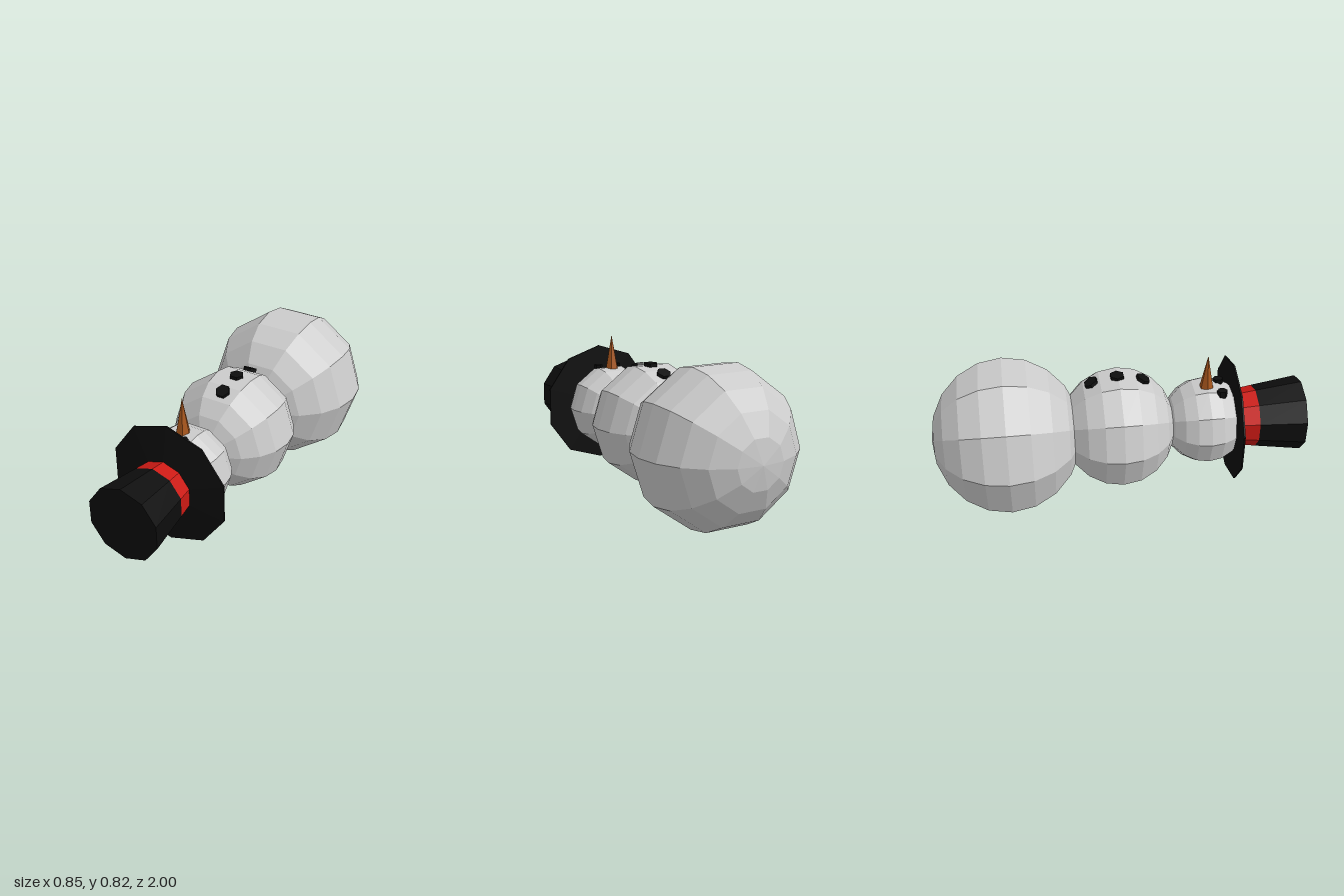
import * as THREE from 'three';

const AXIS_Y = 0.408; // height of the body axis, which runs along z

const flat = (color) => new THREE.MeshStandardMaterial({ color, flatShading: true });
const snow = flat(0xcccccc);
const black = flat(0x0d0d0d);
const red = flat(0xcc1a14);
const orange = flat(0xa8561c);

export function createModel() {
  const model = new THREE.Group();

  const add = (parent, name, geometry, material, x, y, z) => {
    const mesh = new THREE.Mesh(geometry, material);
    mesh.name = name;
    mesh.position.set(x, y, z);
    parent.add(mesh);
    return mesh;
  };

  // Snowballs: ten-sided spheres, poles along z, slightly flattened lengthwise
  const balls = [
    ['baseBall', 0.427, 0.4, -0.6],
    ['middleBall', 0.33, 0.31, 0],
    ['headBall', 0.24, 0.225, 0.475],
  ];
  for (const [name, radius, halfLength, z] of balls) {
    const geometry = new THREE.SphereGeometry(radius, 10, 10);
    geometry.scale(1, halfLength / radius, 1).rotateX(Math.PI / 2);
    add(model, name, geometry, snow, 0, AXIS_Y, z);
  }

  // Hat: brim, band and flaring crown
  const hat = new THREE.Group();
  hat.name = 'hat';
  hat.position.y = AXIS_Y;
  model.add(hat);
  const lathe = (profile) =>
    new THREE.LatheGeometry(profile.map(([r, h]) => new THREE.Vector2(r, h)), 10).rotateX(Math.PI / 2);
  add(hat, 'hatBrim', lathe([[0, 0.617], [0.338, 0.617], [0.338, 0.625], [0.155, 0.662]]), black, 0, 0, 0);
  add(hat, 'hatBand', lathe([[0.154, 0.655], [0.168, 0.75]]), red, 0, 0, 0);
  add(hat, 'hatCrown', lathe([[0.168, 0.75], [0.203, 1], [0, 1]]), black, 0, 0, 0);

  // Carrot nose
  const nose = new THREE.ConeGeometry(0.042, 0.215, 6).rotateY(Math.PI / 2);
  add(model, 'nose', nose, orange, -0.008, 0.7175, 0.475);

  // Eyes: narrow six-sided pegs
  for (const [name, x] of [['rightEye', -0.073], ['leftEye', 0.043]]) {
    const eye = new THREE.CylinderGeometry(0.028, 0.028, 0.04, 6).scale(0.84, 1, 1);
    add(model, name, eye, black, x, 0.625, 0.547);
  }

  // Coat buttons, tilted to follow the middle ball
  const buttons = [[0.707, -0.142, -0.47], [0.726, -0.004, 0], [0.698, 0.134, 0.47]];
  buttons[0][0] = 0.698;
  buttons.forEach(([y, z, tilt], i) => {
    const geometry = new THREE.CylinderGeometry(0.039, 0.039, 0.018, 6).rotateY(Math.PI / 2);
    add(model, `button${i + 1}`, geometry, black, 0.012, y, z).rotation.x = tilt;
  });

  return model;
}
